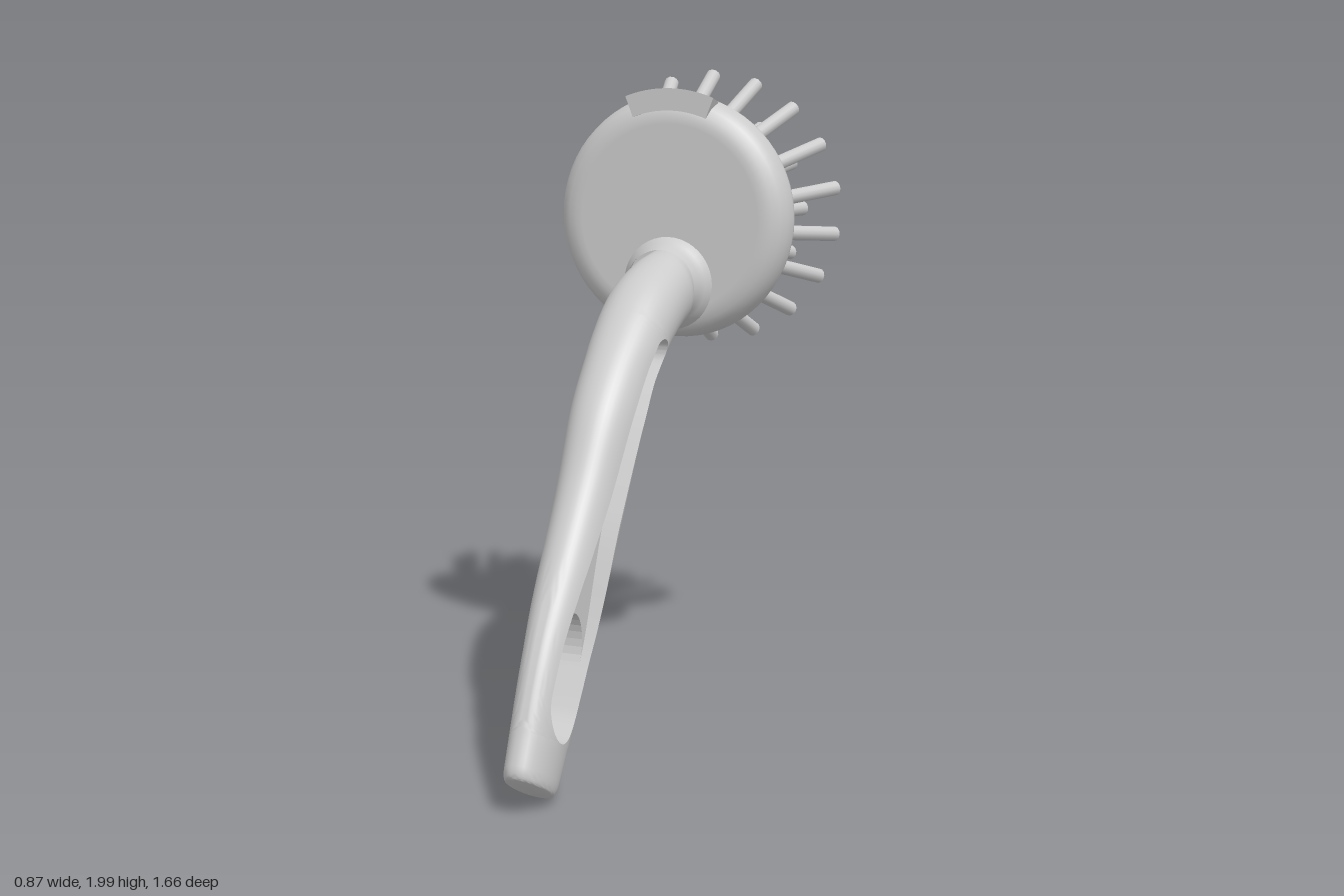
import * as THREE from 'three';
import { toCreasedNormals } from 'three/addons/utils/BufferGeometryUtils.js';

const HEAD_Y = 1.555;
const V = (x, y, z = 0) => new THREE.Vector3(x, y, z);
const mat = new THREE.MeshStandardMaterial({ color: 0xcccccc, side: THREE.DoubleSide });

// Handle side outlines as (z, y), paired from the neck down to the end
const upper = new THREE.CatmullRomCurve3([
  V(-.38, 1.465), V(-.26, 1.45), V(-.07, 1.385), V(.11, 1.25),
  V(.27, 1.08), V(.40, .87), V(.67, .47), V(.84, .13)]);
const lower = new THREE.CatmullRomCurve3([
  V(-.38, 1.22), V(-.29, 1.22), V(-.17, 1.18), V(-.06, 1.1),
  V(.04, .96), V(.19, .70), V(.40, .34), V(.63, 0)]);
// Per station: half thickness, pocket middle, pocket half width
const section = new THREE.CatmullRomCurve3([
  V(.11, -.15, .4), V(.11, -.15, .4), V(.115, -.15, .4), V(.11, -.15, .4),
  V(.105, -.05, .37), V(.095, .05, .37), V(.08, .03, .67), V(.065, .05, .65)]);
const POCKET_START = 2.55, POCKET_END = 6.65, CAP = .3;

// Point in the side plane at station u (0..7), t from -1 (lower) to 1 (upper)
function sidePoint(u, t) {
  return lower.getPoint(u / 7).lerp(upper.getPoint(u / 7), (t + 1) / 2);
}

// Lower and upper edge of the pocket at station u, with rounded ends
function pocketEdges(u) {
  const s = section.getPoint(u / 7);
  const d = THREE.MathUtils.clamp(Math.min(u - POCKET_START, POCKET_END - u) / CAP, 0, 1);
  const half = s.z * Math.sqrt(1 - (1 - d) ** 2);
  return [s.y - half, s.y + half];
}

function handleGeometry() {
  const rows = [0];
  const addRows = (a, b, n, ease = (k) => k) => {
    for (let i = 1; i <= n; i++) rows.push(a + (b - a) * ease(i / n));
  };
  addRows(0, POCKET_START, 22);
  addRows(POCKET_START, POCKET_START + CAP, 12, (k) => 1 - Math.cos(k * Math.PI / 2));
  addRows(POCKET_START + CAP, POCKET_END - CAP, 36);
  addRows(POCKET_END - CAP, POCKET_END, 12, (k) => Math.sin(k * Math.PI / 2));
  addRows(POCKET_END, 6.9, 4);
  addRows(6.9, 7, 6, (k) => Math.sin(k * Math.PI / 2));

  const K = 10;
  const rings = rows.map((u) => {
    const [t0, t1] = pocketEdges(u);
    const w = section.getPoint(u / 7).x;
    const q = Math.max(0, (u - 6.9) / .1);
    const scale = .86 + .14 * Math.sqrt(Math.max(0, 1 - q * q)); // rounded end
    const point = (t, x) => {
      const p = sidePoint(u, t * scale);
      return [x * scale, p.y, p.x];
    };
    const skin = (a) => point(-Math.cos(a), w * Math.max(0, Math.sin(a)) ** .88);
    const a0 = Math.acos(-t0), a1 = Math.acos(-t1), ring = [];
    for (let k = 0; k <= K; k++) ring.push(skin(a0 * k / K));
    ring.push(point(t0, 0), point(t1, 0));
    for (let k = 0; k <= K; k++) ring.push(skin(a1 + (Math.PI - a1) * k / K));
    return ring;
  });

  const pos = [];
  for (const side of [1, -1]) {
    const tri = (a, b, c) => {
      for (const p of side > 0 ? [a, b, c] : [a, c, b]) pos.push(p[0] * side, p[1], p[2]);
    };
    for (let i = 0; i < rings.length - 1; i++) {
      const mid = (rows[i] + rows[i + 1]) / 2;
      const open = mid > POCKET_START && mid < POCKET_END;
      for (let j = 0; j < rings[i].length - 1; j++) {
        // pocket walls exist only along the pocket, and its middle stays open
        if (j === K + 1 || (!open && (j === K || j === K + 2))) continue;
        const a = rings[i][j], b = rings[i][j + 1], c = rings[i + 1][j], d = rings[i + 1][j + 1];
        tri(a, b, c);
        tri(b, d, c);
      }
    }
    // end face
    const last = rings[rings.length - 1], e = sidePoint(7, 0);
    for (let j = 0; j < last.length - 1; j++) {
      if (j < K || j > K + 2) tri(last[j], last[j + 1], [0, e.y, e.x]);
    }
  }
  const g = new THREE.BufferGeometry();
  g.setAttribute('position', new THREE.Float32BufferAttribute(pos, 3));
  return toCreasedNormals(g, .65);
}

// Thin web filling the pocket above the hanging hole
function webGeometry() {
  const pts = [], N = 48, end = 6.02, thick = .07;
  const add = (u, t) => { const p = sidePoint(u, t); pts.push(new THREE.Vector2(p.x, p.y)); };
  const station = (k) => POCKET_START + (end - POCKET_START) * k * k;
  for (let i = 0; i <= N; i++) add(station(i / N), pocketEdges(station(i / N))[1]);
  for (let i = 1; i < 16; i++) {
    const a = Math.PI * i / 16, u = end - .28 * Math.sin(a);
    const [t0, t1] = pocketEdges(u);
    add(u, (t0 + t1) / 2 + (t1 - t0) / 2 * Math.cos(a));
  }
  for (let i = N; i > 0; i--) add(station(i / N), pocketEdges(station(i / N))[0]);
  const g = new THREE.ExtrudeGeometry(new THREE.Shape(pts), { depth: thick, bevelEnabled: false });
  return g.translate(0, 0, -thick / 2).rotateY(-Math.PI / 2);
}

// Lathe around the z axis; profile is (radius, depth toward the back)
function latheZ(profile, segments) {
  const g = new THREE.LatheGeometry(profile.map(([r, d]) => new THREE.Vector2(r, d)), segments);
  return g.rotateX(-Math.PI / 2);
}

// Curved lip on the top front edge of the head, thinning to the back
function scraperGeometry() {
  const s = new THREE.Shape(), half = .37, mid = Math.PI / 2;
  s.absarc(0, 0, .398, mid - half, mid + half, false);
  s.absarc(0, 0, .33, mid + half, mid - half, true);
  const g = new THREE.ExtrudeGeometry(s, { depth: .1, bevelEnabled: false, curveSegments: 16 });
  const p = g.attributes.position;
  for (let i = 0; i < p.count; i++) {
    if (p.getZ(i) < .05 && Math.hypot(p.getX(i), p.getY(i)) > .36) {
      p.setXY(i, p.getX(i) * .93, p.getY(i) * .93);
    }
  }
  g.computeVertexNormals();
  return g.translate(0, 0, -.443);
}

export function createModel() {
  const model = new THREE.Group();
  const add = (name, geometry, parent = model) => {
    const m = new THREE.Mesh(geometry, mat);
    m.name = name;
    parent.add(m);
    return m;
  };

  add('handle', handleGeometry());
  add('handleWeb', webGeometry());
  add('neckCollar', latheZ([[.112, .27], [.118, .3], [.128, .325], [.145, .338], [.145, .36]], 40))
    .position.y = 1.352;

  const head = new THREE.Group();
  head.name = 'head';
  head.position.y = HEAD_Y;
  model.add(head);
  add('headDisc', latheZ([[0, .34], [.29, .34], [.31, .341], [.335, .348], [.357, .363], [.372, .388],
    [.38, .42], [.375, .445], [.36, .465], [.335, .482], [.28, .505], [.2, .538],
    [.1, .565], [.04, .572], [0, .573]], 64), head);
  add('scraper', scraperGeometry(), head);

  // Bristles: rings of splayed rods
  const bristles = new THREE.Group();
  bristles.name = 'bristles';
  head.add(bristles);
  const rings = [
    { n: 18, r0: .27, z0: -.48, r1: .42, z1: -.745 },
    { n: 12, r0: .185, z0: -.51, r1: .29, z1: -.795 },
    { n: 8, r0: .1, z0: -.53, r1: .155, z1: -.83 },
  ];
  for (const { n, r0, z0, r1, z1 } of rings) {
    const length = Math.hypot(r1 - r0, z1 - z0);
    const rod = new THREE.CylinderGeometry(.023, .023, length, 12);
    for (let i = 0; i < n; i++) {
      const a = Math.PI / 2 + i * Math.PI * 2 / n, c = Math.cos(a), s = Math.sin(a);
      const from = V(r0 * c, r0 * s, z0), to = V(r1 * c, r1 * s, z1);
      const m = add('bristle', rod, bristles);
      m.position.copy(from).lerp(to, .5);
      m.quaternion.setFromUnitVectors(V(0, 1, 0), to.sub(from).normalize());
    }
  }
  return model;
}
